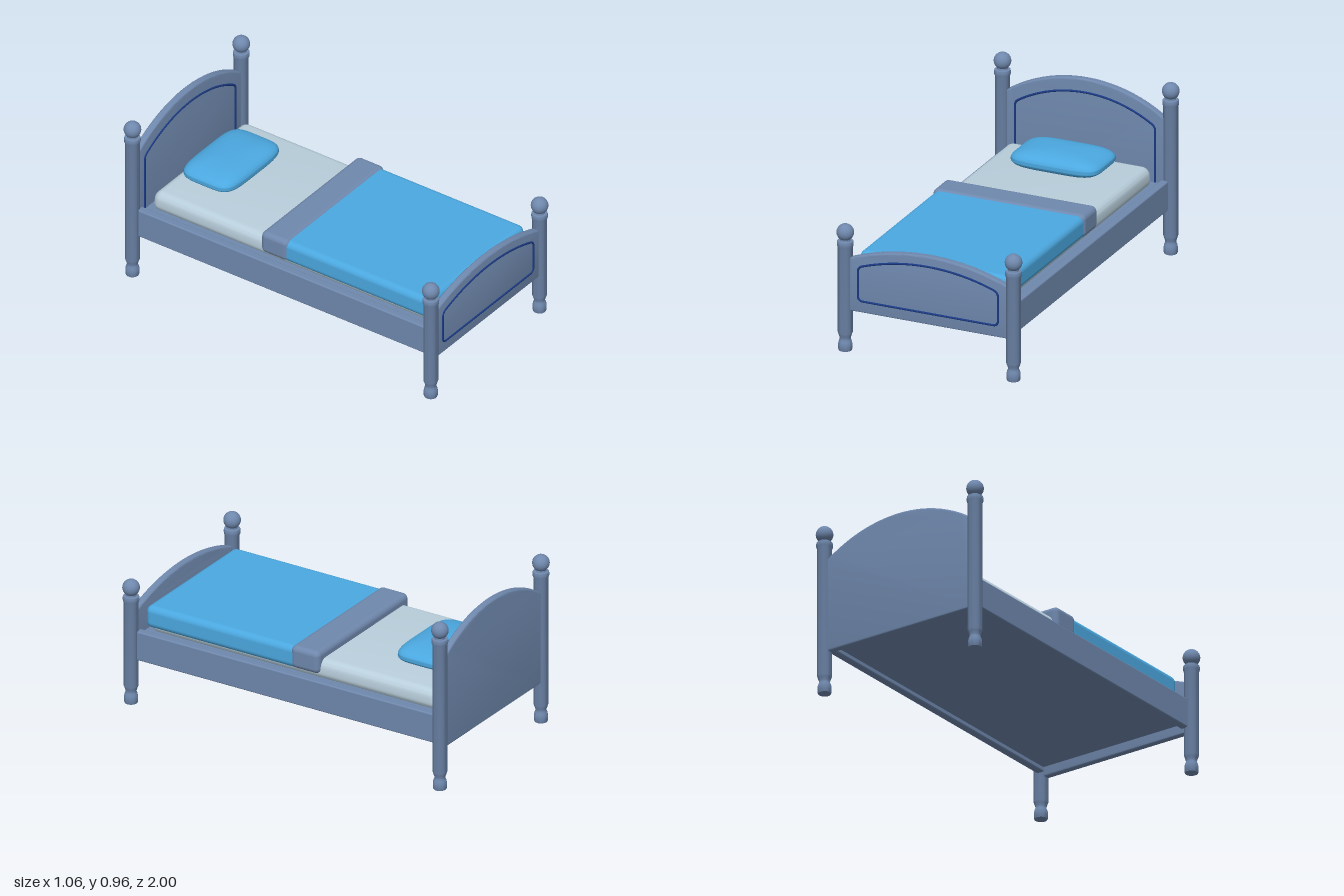
import * as THREE from 'three';
import { toCreasedNormals } from 'three/addons/utils/BufferGeometryUtils.js';
import { RoundedBoxGeometry } from 'three/addons/geometries/RoundedBoxGeometry.js';

const mat = (name, color) => {
  const m = new THREE.MeshStandardMaterial({ color });
  m.name = name;
  return m;
};

export function createModel() {
  const wood = mat('slate wood', 0x6f88ad);
  const trim = mat('navy trim', 0x1a3a85);
  const sheet = mat('pale sheet', 0xb9cfdc);
  const blue = mat('blue fabric', 0x4ba8e0);

  const bed = new THREE.Group();
  bed.name = 'bed';
  const add = (name, geometry, material, x = 0, y = 0, z = 0, parent = bed) => {
    const mesh = new THREE.Mesh(geometry, material);
    mesh.name = name;
    mesh.position.set(x, y, z);
    parent.add(mesh);
    return mesh;
  };
  // Rounded box given by its extents
  const pad = (name, material, [x0, x1], [y0, y1], [z0, z1], r) =>
    add(name, new RoundedBoxGeometry(x1 - x0, y1 - y0, z1 - z0, 4, r), material,
      (x0 + x1) / 2, (y0 + y1) / 2, (z0 + z1) / 2);

  // Turned post with a foot, a collar and a ball; h is the collar's top
  const post = (name, h, x, z) => {
    const group = new THREE.Group();
    group.name = name;
    group.position.set(x, 0, z);
    bed.add(group);
    const profile = [
      [0, 0], [0.034, 0], [0.037, 0.008], [0.037, 0.035], [0.034, 0.05], [0.029, 0.062],
      [0.029, 0.07], [0.034, 0.085], [0.039, 0.1], [0.039, h - 0.035], [0.043, h - 0.026],
      [0.044, h - 0.01], [0.042, h], [0.028, h + 0.002], [0.026, h + 0.015], [0, h + 0.015],
    ].map(([r, y]) => new THREE.Vector2(r, y));
    add('turnedPost', toCreasedNormals(new THREE.LatheGeometry(profile, 32), 0.7), wood, 0, 0, 0, group);
    add('ballFinial', new THREE.SphereGeometry(0.046, 32, 20), wood, 0, h + 0.048, 0, group);
  };
  for (const [side, x] of [['left', 0.483], ['right', -0.483]]) {
    post(side + 'FrontPost', 0.612, x, 0.954);
    post(side + 'BackPost', 0.862, x, -0.954);
    const s = Math.sign(x);
    pad(side + 'Rail', wood, [s * 0.463 - 0.022, s * 0.463 + 0.022], [0.25, 0.415], [-0.925, 0.925], 0.008);
  }

  // Circular arc over a chord, sampled from right (+x) to left
  const arch = (half, side, top, n = 40) => {
    const rise = top - side;
    const R = (half * half + rise * rise) / (2 * rise);
    const a = Math.asin(half / R);
    return Array.from({ length: n + 1 }, (_, i) => {
      const t = a * (1 - (2 * i) / n);
      return new THREE.Vector2(R * Math.sin(t), top - R + R * Math.cos(t));
    });
  };

  // Arched end board with a bevelled edge
  const board = (name, side, top, z) => {
    const shape = new THREE.Shape([
      new THREE.Vector2(-0.455, 0.23), new THREE.Vector2(0.455, 0.23), ...arch(0.455, side, top),
    ]);
    const b = 0.01;
    const geo = new THREE.ExtrudeGeometry(shape, {
      depth: 0.02, bevelEnabled: true, bevelThickness: b, bevelSize: b, bevelOffset: -b, bevelSegments: 3,
    });
    geo.translate(0, 0, -0.01);
    add(name, toCreasedNormals(geo, 0.6), wood, 0, 0, z);
  };

  // Thin rounded outline set on the face of a board
  const outline = (name, side, top, z) => {
    const w = 0.402, bottom = 0.295, r = 0.03;
    const arc = arch(w - 0.02, side + 0.015, top);
    const s = new THREE.Shape();
    s.moveTo(-w + r, bottom);
    s.lineTo(w - r, bottom);
    s.quadraticCurveTo(w, bottom, w, bottom + r);
    s.lineTo(w, side - 0.015);
    s.quadraticCurveTo(w, side + 0.003, arc[0].x, arc[0].y);
    arc.slice(1).forEach((p) => s.lineTo(p.x, p.y));
    s.quadraticCurveTo(-w, side + 0.003, -w, side - 0.015);
    s.lineTo(-w, bottom + r);
    s.quadraticCurveTo(-w, bottom, -w + r, bottom);
    const pts = s.getSpacedPoints(160).slice(0, -1).map((p) => new THREE.Vector3(p.x, p.y, 0));
    const path = new THREE.CatmullRomCurve3(pts, true);
    add(name, new THREE.TubeGeometry(path, 240, 0.006, 8, true), trim, 0, 0, z);
  };
  board('headboard', 0.755, 0.897, -0.954);
  outline('headboardTrim', 0.7, 0.823, -0.934);
  board('footboard', 0.525, 0.612, 0.952);
  outline('footboardTrim', 0.475, 0.556, 0.972);

  // Base panel and bedding
  add('basePanel', new THREE.BoxGeometry(0.87, 0.13, 1.82), wood, 0, 0.335, 0);
  const mattress = pad('mattress', sheet, [-0.415, 0.415], [0.39, 0.505], [-0.89, 0.89], 0.045);
  // Draw the mattress in slightly towards its top
  const mp = mattress.geometry.attributes.position;
  for (let i = 0; i < mp.count; i++) {
    const k = 1 - 0.012 * (mp.getY(i) / 0.115 + 0.5);
    mp.setX(i, mp.getX(i) * k);
    mp.setZ(i, mp.getZ(i) * k);
  }
  mattress.geometry = toCreasedNormals(mattress.geometry, 0.8);
  pad('blanket', blue, [-0.43, 0.43], [0.42, 0.545], [-0.05, 0.905], 0.035);
  pad('blanketFold', wood, [-0.437, 0.437], [0.425, 0.553], [-0.172, 0.003], 0.03);

  // Pillow: a sphere pressed into a cushion
  const pillow = new THREE.SphereGeometry(1, 64, 32);
  const p = pillow.attributes.position;
  const pow = (v, e) => Math.sign(v) * Math.abs(v) ** e;
  for (let i = 0; i < p.count; i++) {
    const x = p.getX(i), y = p.getY(i), z = p.getZ(i);
    const r = Math.hypot(x, z);
    const c = r > 1e-6 ? x / r : 0, s = r > 1e-6 ? z / r : 0;
    const spread = r ** 0.75;
    p.setXYZ(i, 0.257 * spread * pow(c, 0.42), (y > 0 ? 0.06 : 0.052) * pow(y, 0.9),
      0.168 * spread * pow(s, 0.42));
  }
  add('pillow', toCreasedNormals(pillow, 1.2), blue, 0, 0.555, -0.67);

  return bed;
}
